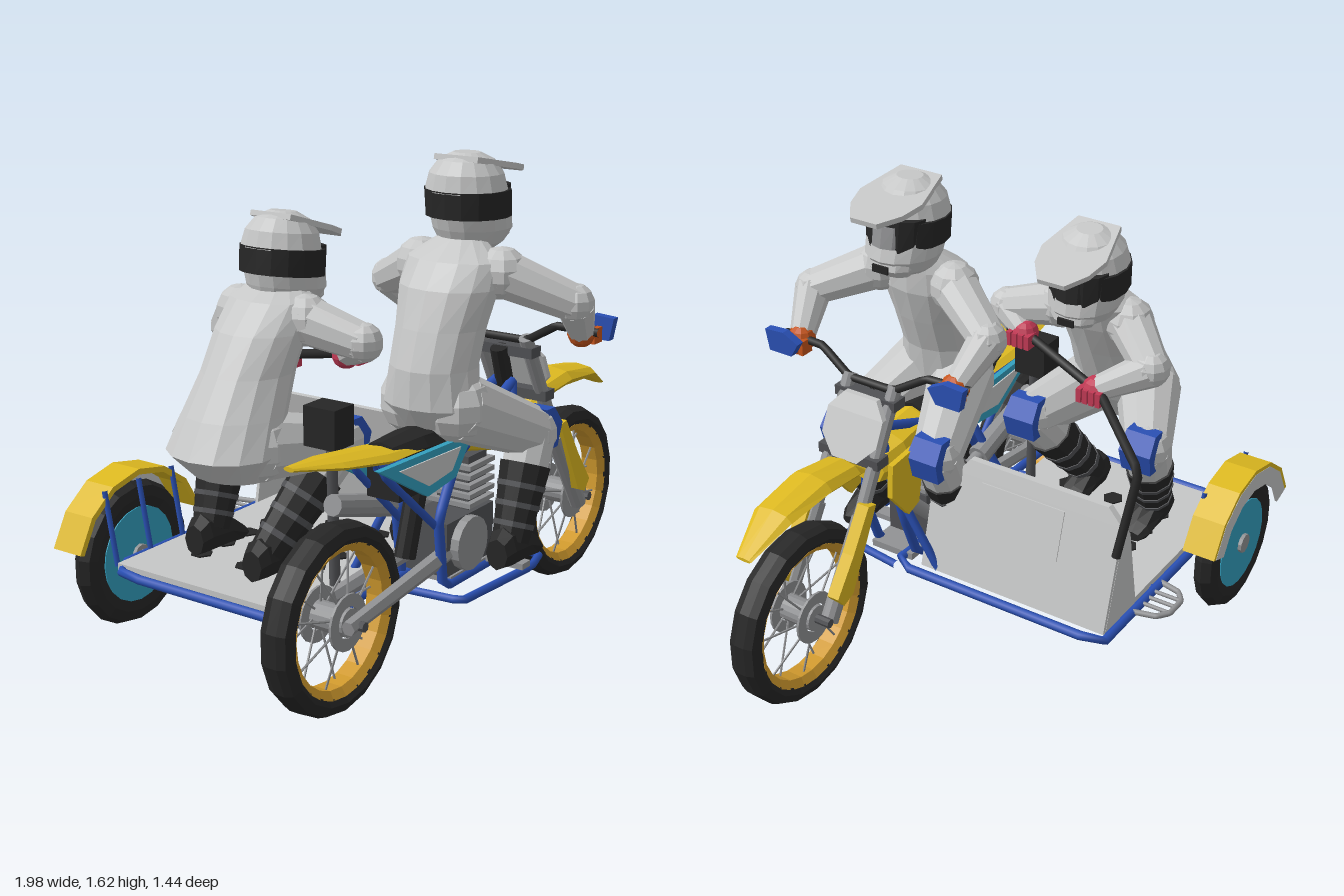
import * as THREE from 'three';

const V = (x, y, z) => new THREE.Vector3(x, y, z);
const mat = (name, color) => { const m = new THREE.MeshStandardMaterial({ color }); m.name = name; return m; };
const M = {
  pale: mat('pale grey', 0xc6c7c7), metal: mat('metal grey', 0x919294), dark: mat('dark grey', 0x505154),
  black: mat('black', 0x262626), blue: mat('blue', 0x2a50b4), yellow: mat('yellow', 0xddb920),
  cyan: mat('cyan', 0x33a0bf), gold: mat('gold', 0xd29b2e), orange: mat('orange', 0xc4541c), red: mat('red', 0xc23a55),
};
const BZ = 0.31; // centre plane of the bike

// faceted mesh
function add(parent, name, geo, m, smooth) {
  let g = geo;
  if (!smooth) { g = geo.index ? geo.toNonIndexed() : geo; g.computeVertexNormals(); }
  const mesh = new THREE.Mesh(g, m);
  mesh.name = name;
  parent.add(mesh);
  return mesh;
}
// closed skin over a list of rings
function loft(rings) {
  const n = rings[0].length, pos = [], idx = [];
  rings.forEach(r => r.forEach(p => pos.push(p.x, p.y, p.z)));
  for (let i = 0; i < rings.length - 1; i++) for (let j = 0; j < n; j++) {
    const a = i * n + j, b = i * n + (j + 1) % n;
    idx.push(a, a + n, b, b, a + n, b + n);
  }
  const top = (rings.length - 1) * n;
  for (let j = 1; j < n - 1; j++) idx.push(0, j, j + 1, top, top + j + 1, top + j);
  const g = new THREE.BufferGeometry();
  g.setAttribute('position', new THREE.Float32BufferAttribute(pos, 3));
  g.setIndex(idx);
  return g;
}
const around = (n, f) => Array.from({ length: n }, (_, i) => f(Math.cos(i / n * 2 * Math.PI), Math.sin(i / n * 2 * Math.PI)));
// level ellipses stacked along y: [x, y, rx, rz]
const stack = (rows, z, n = 14) => loft(rows.map(([x, y, rx, rz]) => around(n, (c, s) => V(x + c * rx, y, z + s * rz))));
// upright ellipses along x: [x, yTop, yBottom, halfWidth]
const along = (rows, z, n = 8) => loft(rows.map(([x, t, b, w]) => around(n, (c, s) => V(x, (t + b) / 2 + c * (t - b) / 2, z - s * w))));
// level rectangles stacked along y: [y, x0, x1, z0, z1]
const rects = rows => loft(rows.map(([y, x0, x1, z0, z1]) => [V(x1, y, z1), V(x0, y, z1), V(x0, y, z0), V(x1, y, z0)]));
const box = (x, y, z, w, h, d) => new THREE.BoxGeometry(w, h, d).translate(x, y, z);
const ball = (p, r) => new THREE.SphereGeometry(r, 10, 7).translate(p.x, p.y, p.z);
function rod(a, b, r1, r2 = r1, n = 10) {
  const g = new THREE.CylinderGeometry(r2, r1, a.distanceTo(b), n);
  g.applyQuaternion(new THREE.Quaternion().setFromUnitVectors(V(0, 1, 0), b.clone().sub(a).normalize()));
  const c = a.clone().lerp(b, 0.5);
  return g.translate(c.x, c.y, c.z);
}
// bent pipe made of straight runs
function pipe(parent, name, pts, r, m) {
  const path = new THREE.CurvePath();
  for (let i = 1; i < pts.length; i++) path.add(new THREE.LineCurve3(V(...pts[i - 1]), V(...pts[i])));
  add(parent, name, new THREE.TubeGeometry(path, (pts.length - 1) * 6, r, 8), m, true);
}
const plate = (pts, z, d) => new THREE.ExtrudeGeometry(new THREE.Shape(pts.map(p => new THREE.Vector2(...p))), { depth: d, bevelEnabled: false }).translate(0, 0, z - d / 2);
const disc = (r, d, n = 16) => new THREE.CylinderGeometry(r, r, d, n).rotateX(Math.PI / 2);
function ring(profile, n) {
  return new THREE.LatheGeometry([...profile, profile[0]].map(p => new THREE.Vector2(...p)), n).rotateX(Math.PI / 2);
}

function spokedWheel(name, x, y, R) {
  const g = new THREE.Group();
  g.name = name;
  g.position.set(x, y, BZ);
  add(g, 'tyre', ring([[R - .06, -.045], [R - .04, -.058], [R - .01, -.045], [R, -.018], [R, .018], [R - .01, .045], [R - .04, .058], [R - .06, .045]], 18), M.black);
  add(g, 'rim', ring([[R - .085, -.03], [R - .058, -.048], [R - .058, .048], [R - .085, .03]], 24), M.gold);
  add(g, 'hub', disc(.045, .13), M.metal);
  [-.055, .055].forEach(z => add(g, 'brakeDisc', ring([[.05, z - .004], [.09, z - .004], [.09, z + .004], [.05, z + .004]], 18), M.metal));
  for (let i = 0; i < 16; i++) {
    const a = i / 16 * 2 * Math.PI, s = i % 2 ? .045 : -.045;
    add(g, 'spoke', rod(V(Math.cos(a) * .04, Math.sin(a) * .04, s), V(Math.cos(a + .12) * (R - .08), Math.sin(a + .12) * (R - .08), s * .3), .004, .004, 5), M.metal);
  }
  add(g, 'axle', disc(.016, .24, 8), M.dark);
  return g;
}

function helmet(x, y, z, tilt, lens) {
  const g = new THREE.Group();
  g.name = 'helmet';
  add(g, 'shell', stack([[.03, -.16, .07, .07], [.04, -.135, .11, .10], [.045, -.09, .135, .125], [.03, -.04, .135, .13], [.005, .03, .125, .135],
    [.005, .085, .115, .12], [.005, .125, .085, .09], [.005, .148, .04, .045]], 0, 16), M.pale);
  add(g, 'goggleStrap', stack([[.02, -.05, .138, .138], [.012, .035, .132, .141]], 0, 16), M.black);
  add(g, 'goggleFrame', stack([[.085, -.07, .085, .105], [.08, .045, .075, .11]], 0, 12), M.black);
  add(g, 'lens', stack([[.1, -.045, .076, .075], [.09, .025, .072, .08]], 0, 12), lens);
  add(g, 'chinGuard', stack([[.1, -.155, .04, .06], [.12, -.12, .06, .085], [.11, -.07, .055, .09]], 0, 10), M.pale);
  add(g, 'chinVent', box(.178, -.115, 0, .008, .025, .06), M.black);
  const peak = plate([[-.05, -.08], [.12, -.12], [.2, -.1], [.27, -.05], [.27, .05], [.2, .1], [.12, .12], [-.05, .08]], 0, .018);
  add(g, 'peak', peak.rotateX(Math.PI / 2).rotateZ(-.2).translate(-.01, .125, 0), M.pale);
  g.position.set(x, y, z);
  g.rotation.z = tilt;
  return g;
}

function arm(parent, s, e, h, glove) {
  add(parent, 'shoulder', ball(s, .085), M.pale);
  add(parent, 'upperArm', rod(s, e, .08, .062), M.pale);
  add(parent, 'elbow', ball(e, .064), M.pale);
  add(parent, 'forearm', rod(e, h, .064, .042), M.pale);
  add(parent, 'glove', ball(h, .048), glove);
  for (let i = 0; i < 4; i++) add(parent, 'finger', box(h.x + .03, h.y - .01, h.z - .036 + i * .024, .05, .05, .018), glove);
}

function leg(parent, hip, knee, ankle) {
  const shin = knee.clone().lerp(ankle, .3);
  add(parent, 'hip', ball(hip, .115), M.pale);
  add(parent, 'thigh', rod(hip, knee, .115, .085), M.pale);
  add(parent, 'knee', ball(knee, .085), M.pale);
  add(parent, 'shin', rod(knee, shin, .083, .078), M.pale);
  add(parent, 'kneeGuard', rects([[knee.y - .06, knee.x + .02, knee.x + .075, knee.z - .055, knee.z + .055],
    [knee.y + .02, knee.x + .03, knee.x + .095, knee.z - .06, knee.z + .06], [knee.y + .08, knee.x, knee.x + .05, knee.z - .055, knee.z + .055]]), M.blue);
  add(parent, 'boot', rod(shin, ankle, .086, .062), M.black);
  [.25, .5, .75].forEach(t => { const p = shin.clone().lerp(ankle, t), q = shin.clone().lerp(ankle, t + .07); add(parent, 'bootStrap', rod(p, q, .089 - .024 * t, .087 - .024 * t), M.dark); });
  add(parent, 'foot', along([[-.085, .03, -.075, .04], [-.05, .06, -.08, .055], [.05, .045, -.08, .055], [.12, -.01, -.08, .055], [.155, -.04, -.075, .035]], 0)
    .translate(ankle.x, ankle.y, ankle.z), M.black);
}

function buildBike() {
  const g = new THREE.Group();
  g.name = 'motorcycle';
  g.add(spokedWheel('frontWheel', .68, .32, .312), spokedWheel('rearWheel', -.7, .31, .3));
  add(g, 'frontFender', along([[.36, .72, .7, .05], [.43, .78, .715, .075], [.59, .805, .735, .085], [.78, .775, .725, .075], [.93, .68, .668, .03]], BZ), M.yellow);
  add(g, 'rearFender', along([[-.9, .84, .825, .02], [-.72, .82, .785, .075], [-.5, .79, .745, .09], [-.22, .755, .73, .06]], BZ), M.yellow);
  add(g, 'seat', along([[-.45, .795, .73, .06], [-.3, .8, .71, .075], [-.1, .79, .68, .075], [.04, .8, .7, .06]], BZ), M.black);
  add(g, 'tank', along([[-.1, .76, .68, .06], [.05, .79, .63, .1], [.2, .78, .6, .11], [.3, .74, .62, .07]], BZ), M.yellow);
  add(g, 'airBox', box(-.3, .66, BZ, .28, .1, .12), M.black);
  add(g, 'engineCase', box(-.06, .38, BZ, .28, .18, .16), M.dark);
  add(g, 'clutchCover', disc(.09, .22).translate(-.09, .38, BZ), M.metal);
  add(g, 'skidPlate', box(.0, .275, BZ, .36, .025, .17), M.metal);
  for (let i = 0; i < 5; i++) add(g, 'coolingFin', box(.01, .49 + i * .032, BZ, .15, .016, .16), M.metal);
  add(g, 'cylinder', box(.01, .55, BZ, .11, .2, .12), M.dark);
  add(g, 'numberPlate', rects([[.77, .4, .42, BZ - .05, BZ + .05], [.83, .37, .39, BZ - .11, BZ + .11], [.91, .33, .35, BZ - .11, BZ + .11], [.96, .3, .32, BZ - .065, BZ + .065]]), M.pale);
  add(g, 'steeringHead', rod(V(.3, .74, BZ), V(.23, .95, BZ), .03), M.black);
  [[.27, .94], [.37, .77]].forEach(([x, y]) => add(g, 'forkClamp', box(x, y, BZ, .06, .035, .24), M.dark));
  for (const s of [-1, 1]) {
    const z = BZ + s * .09;
    add(g, 'forkTube', rod(V(.25, .99, z), V(.5, .53, z), .024), M.metal);
    add(g, 'forkLower', rod(V(.46, .6, z), V(.65, .3, z), .03), M.metal);
    add(g, 'forkGuard', plate([[.43, .65], [.47, .66], [.56, .52], [.65, .4], [.62, .36], [.57, .38]], z + s * .02, .045), M.yellow);
    add(g, 'radiatorShroud', plate([[-.04, .74], [.17, .63], [.19, .53], [.25, .51], [.34, .62], [.33, .74], [.2, .75]], BZ + s * .12, .02), M.yellow);
    add(g, 'sidePanel', plate([[-.6, .76], [-.34, .61], [-.18, .63], [-.1, .73], [-.2, .75]], BZ + s * .09, .02), M.cyan);
    add(g, 'panelInsert', plate([[-.5, .735], [-.34, .645], [-.21, .66], [-.16, .725]], BZ + s * .102, .006), M.pale);
    add(g, 'swingArm', rod(V(-.18, .36, BZ + s * .06), V(-.74, .31, BZ + s * .085), .03, .024, 6), M.metal);
    pipe(g, 'cradleTube', [[.27, .83, BZ + s * .03], [.21, .45, BZ + s * .08], [.14, .265, BZ + s * .08], [-.22, .265, BZ + s * .08], [-.25, .5, BZ + s * .08], [-.13, .68, BZ + s * .07], [.27, .83, BZ + s * .03]], .017, M.blue);
    pipe(g, 'subframe', [[-.13, .69, BZ + s * .06], [-.55, .75, BZ + s * .05], [-.24, .47, BZ + s * .07]], .013, M.blue);
    add(g, 'handGuard', plate([[-.07, .015], [-.04, -.035], [.05, -.035], [.065, .04], [-.01, .045]].map(([a, b]) => [a * -s, b]).sort(() => 0), 0, .03)
      .rotateY(Math.PI / 2).translate(.295, 1.05, BZ + s * .33), M.blue);
    add(g, 'footPeg', box(.03, .295, BZ + s * .17, .05, .02, .14), M.metal);
  }
  pipe(g, 'handlebar', [[.23, 1.05, .68], [.24, 1.05, .52], [.26, .98, .4], [.26, .98, .22], [.24, 1.05, .1], [.23, 1.05, -.06]], .014, M.black);
  pipe(g, 'sideRail', [[.24, .27, .25], [.2, .265, .5], [.1, .265, .53], [-.28, .265, .5], [-.32, .27, .22]], .014, M.blue);
  pipe(g, 'exhaust', [[.06, .57, .3], [.17, .5, .24], [.1, .42, .2], [-.2, .5, .2]], .025, M.metal);
  add(g, 'muffler', rod(V(-.2, .5, .2), V(-.55, .6, .2), .04, .035), M.metal);
  add(g, 'rearShock', rod(V(-.32, .38, BZ), V(-.24, .64, BZ), .035), M.black);
  return g;
}

function buildSidecar() {
  const g = new THREE.Group();
  g.name = 'sidecar';
  add(g, 'tub', rects([[.175, -.58, .06, -.47, .1], [.265, -.69, .17, -.53, .15]]), M.metal);
  add(g, 'floor', box(-.27, .28, -.19, .9, .03, .72), M.pale);
  for (let i = 0; i < 5; i++) for (let j = 0; j < 3; j++) for (const y of [.297, .173])
    add(g, 'floorHole', new THREE.CylinderGeometry(.038, .038, .006, 6).translate(-.5 + i * .12, y, -.38 + j * .19), M.black);
  pipe(g, 'floorFrame', [[-.75, .275, .16], [-.75, .275, -.5], [-.69, .275, -.57], [.24, .275, -.57], [.24, .275, .26], [-.69, .275, .22], [-.75, .275, .16]], .016, M.blue);
  [-.13, -.5].forEach(x => pipe(g, 'crossTube', [[x, .265, .25], [x, .265, -.57]], .014, M.blue));
  pipe(g, 'upperStrut', [[.2, .29, .1], [.24, .65, .28]], .015, M.blue);
  pipe(g, 'rearStrut', [[-.3, .29, .1], [-.2, .68, .26]], .015, M.blue);
  add(g, 'frontShield', rects([[.29, .19, .215, -.56, .16], [.55, .118, .143, -.56, .16], [.65, .09, .115, -.56, .07], [.7, .076, .1, -.5, .03]]), M.pale);
  add(g, 'shieldPanel', rects([[.47, .15, .169, -.35, -.03], [.64, .103, .122, -.35, -.03]]), M.pale);
  add(g, 'shieldWing', plate([[.2, .29], [.1, .65], [.06, .6], [.0, .29]], -.555, .012), M.pale);
  pipe(g, 'grabBar', [[.15, .56, -.56], [.08, .85, -.59], [-.18, .92, -.3], [-.28, 1, .05], [-.27, 1.01, .12]], .016, M.black);
  pipe(g, 'stepHoop', [[.04, .28, -.57], [.02, .28, -.65], [-.02, .28, -.68], [-.1, .28, -.68], [-.14, .28, -.65], [-.16, .28, -.57]], .01, M.metal);
  [-.1, -.06, -.02].forEach(x => pipe(g, 'stepBar', [[x, .28, -.57], [x, .28, -.68]], .007, M.metal));
  add(g, 'bracketPad', box(-.46, .82, .12, .1, .13, .12), M.black);
  pipe(g, 'padPost', [[-.46, .28, .14], [-.46, .78, .13]], .018, M.dark);

  const w = new THREE.Group();
  w.name = 'sidecarWheel';
  w.position.set(-.55, .26, -.65);
  add(w, 'tyre', ring([[.15, -.03], [.2, -.04], [.235, -.032], [.25, 0], [.235, .032], [.2, .04], [.15, .03]], 18), M.black);
  add(w, 'wheelDisc', disc(.165, .074, 20), M.cyan);
  add(w, 'hub', disc(.035, .1, 10), M.metal);
  add(w, 'axle', disc(.018, .2, 8).translate(0, 0, .1), M.metal);
  // polygonal mudguard with an outer side skirt
  const arc = (r0, r1, z, d) => {
    const a = Array.from({ length: 7 }, (_, i) => .33 + i * .42);
    return plate([...a.map(t => [Math.cos(t) * r1, Math.sin(t) * r1]), ...a.reverse().map(t => [Math.cos(t) * r0, Math.sin(t) * r0])], z, d);
  };
  add(w, 'mudguard', arc(.285, .305, -.005, .12), M.yellow);
  add(w, 'mudguardSkirt', arc(.225, .29, -.062, .008), M.pale);
  [-.16, 0, .16].forEach(x => pipe(w, 'mudguardStay', [[x, .02, .09], [x, .27, .045]], .009, M.blue));
  g.add(w);
  return g;
}

function buildDriver() {
  const g = new THREE.Group();
  g.name = 'driver';
  add(g, 'torso', stack([[-.17, .79, .08, .12], [-.17, .86, .13, .165], [-.16, .98, .135, .145], [-.12, 1.1, .135, .15], [-.08, 1.22, .13, .17], [-.05, 1.3, .1, .165], [-.01, 1.36, .06, .08]], BZ), M.pale);
  g.add(helmet(.01, 1.475, BZ, 0, M.metal));
  for (const s of [-1, 1]) {
    arm(g, V(-.01, 1.26, BZ + s * .15), V(.1, 1.17, BZ + s * .35), V(.225, 1.045, BZ + s * .31), M.orange);
    leg(g, V(-.15, .85, BZ + s * .08), V(.15, .71, BZ + s * .18), V(.01, .375, BZ + s * .19));
  }
  return g;
}

function buildPassenger() {
  const g = new THREE.Group();
  g.name = 'passenger';
  add(g, 'torso', stack([[-.6, .64, .09, .13], [-.62, .73, .165, .19], [-.56, .84, .16, .17], [-.49, .96, .15, .15], [-.42, 1.08, .14, .155], [-.36, 1.17, .11, .155], [-.32, 1.22, .06, .08]], -.17), M.pale);
  g.add(helmet(-.325, 1.29, -.17, -.12, M.black));
  arm(g, V(-.36, 1.11, -.3), V(-.26, 1.02, -.44), V(-.2, .92, -.27), M.red);
  arm(g, V(-.36, 1.11, -.04), V(-.33, 1.06, .16), V(-.285, 1, .06), M.red);
  leg(g, V(-.58, .74, -.27), V(-.32, .68, -.41), V(-.45, .375, -.38));
  leg(g, V(-.56, .74, -.08), V(-.27, .7, .02), V(-.52, .375, -.08));
  return g;
}

export function createModel() {
  const root = new THREE.Group();
  root.name = 'sidecarMotorcycle';
  root.add(buildBike(), buildSidecar(), buildDriver(), buildPassenger());
  return root;
}
